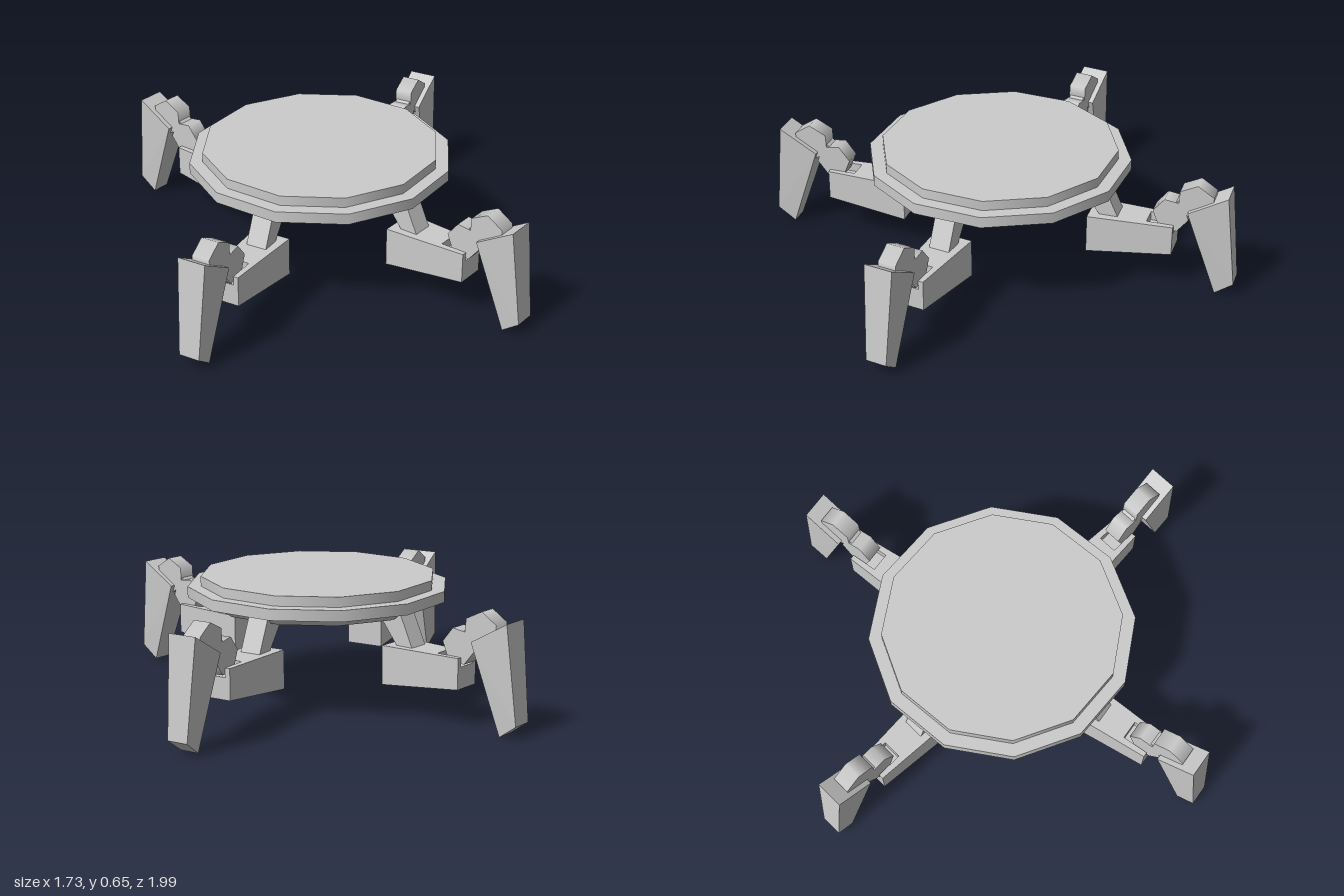
import * as THREE from 'three';

const material = new THREE.MeshStandardMaterial({ color: 0xcccccc });
const flatMaterial = new THREE.MeshStandardMaterial({ color: 0xcccccc, flatShading: true });

function addMesh(parent, name, geometry, mat = flatMaterial) {
  const mesh = new THREE.Mesh(geometry, mat);
  mesh.name = name;
  parent.add(mesh);
  return mesh;
}

// Solid from a counter-clockwise side profile; each point is [x, y, zBack, zFront]
function slab(points) {
  const n = points.length, pos = [], index = [];
  for (const [x, y, z0, z1] of points) pos.push(x, y, z0, x, y, z1);
  for (let i = 0; i < n; i++) {
    const a = 2 * i, b = 2 * ((i + 1) % n);
    index.push(a, b, b + 1, a, b + 1, a + 1);
    if (i > 0 && i < n - 1) {
      index.push(1, 2 * i + 1, 2 * i + 3);
      index.push(0, 2 * i + 2, 2 * i);
    }
  }
  const indexed = new THREE.BufferGeometry();
  indexed.setAttribute('position', new THREE.Float32BufferAttribute(pos, 3));
  indexed.setIndex(index);
  const g = indexed.toNonIndexed();
  g.computeVertexNormals();
  return g;
}

// Centred slab: points are [x, y, width]
const centred = (points) => slab(points.map(([x, y, w]) => [x, y, -w / 2, w / 2]));

// One leg, reaching out along +x
function createLeg(name) {
  const leg = new THREE.Group();
  leg.name = name;

  // Slanted strut from the plate to the thigh
  addMesh(leg, 'hipStrut', centred([
    [0.42, 0.53, 0.11], [0.59, 0.31, 0.11], [0.67, 0.31, 0.11], [0.57, 0.53, 0.11],
  ]));

  // Thigh, narrowing outward, with a fork at the outer end
  const thigh = new THREE.Group();
  thigh.name = 'thigh';
  leg.add(thigh);
  const half = (x) => 0.102 - (x - 0.5) * 0.06;
  const bottom = (x) => 0.155 + (x - 0.5) * 0.1;
  const slot = 0.05, xIn = 0.5, xFork = 0.8, xOut = 0.94, yTop = 0.357, yFork = 0.31;
  const block = (x0, x1, top) => centred([
    [x0, bottom(x0), 2 * half(x0)], [x1, bottom(x1), 2 * half(x1)],
    [x1, top, 2 * half(x1)], [x0, top, 2 * half(x0)],
  ]);
  addMesh(thigh, 'thighBody', block(xIn, xFork, yTop));
  addMesh(thigh, 'thighEnd', block(xFork, xOut, yFork));
  for (const s of [-1, 1]) {
    const p = (x, y) => (s > 0 ? [x, y, slot, half(x)] : [x, y, -half(x), -slot]);
    addMesh(thigh, 'thighProng', slab([p(xFork, yFork), p(xOut, yFork), p(xOut, yTop), p(xFork, yTop)]));
  }

  // Knee link: two hexagonal joints and a bridge
  const knee = new THREE.Group();
  knee.name = 'knee';
  leg.add(knee);
  for (const [x, y, r, turn] of [[0.92, 0.41, 0.093, 52], [1.045, 0.5, 0.1, 27]]) {
    const g = new THREE.CylinderGeometry(r, r, 0.094, 6);
    g.rotateX(Math.PI / 2);
    g.rotateZ(THREE.MathUtils.degToRad(turn + 90));
    addMesh(knee, 'kneeJoint', g, material).position.set(x, y, 0);
  }
  const bridge = addMesh(knee, 'kneeBridge', new THREE.BoxGeometry(0.15, 0.1, 0.08));
  bridge.position.set(0.983, 0.455, 0);
  bridge.rotation.z = Math.atan2(0.09, 0.125);

  // Shin, tapering to the foot
  addMesh(leg, 'shin', centred([
    [1.01, 0.45, 0.148], [1.17, 0, 0.1], [1.264, 0.07, 0.11], [1.21, 0.567, 0.148],
  ]));
  return leg;
}

export function createModel() {
  const model = new THREE.Group();
  model.name = 'fourLeggedPlatform';

  // Twelve-sided stepped plate: [name, top radius, bottom radius, bottom y, top y]
  const layers = [
    ['plateUnderside', 0.6, 0.56, 0.493, 0.54],
    ['plateRim', 0.68, 0.68, 0.54, 0.597],
    ['plateTop', 0.612, 0.612, 0.597, 0.648],
  ];
  for (const [name, rTop, rBottom, y0, y1] of layers) {
    const g = new THREE.CylinderGeometry(rTop, rBottom, y1 - y0, 12);
    addMesh(model, name, g, material).position.y = (y0 + y1) / 2;
  }

  // Four legs, spread symmetrically
  const legs = [['frontLeftLeg', 49.5], ['frontRightLeg', 130.5], ['backRightLeg', 229.5], ['backLeftLeg', 310.5]];
  for (const [name, angle] of legs) {
    const leg = createLeg(name);
    leg.rotation.y = -THREE.MathUtils.degToRad(angle);
    model.add(leg);
  }
  return model;
}
